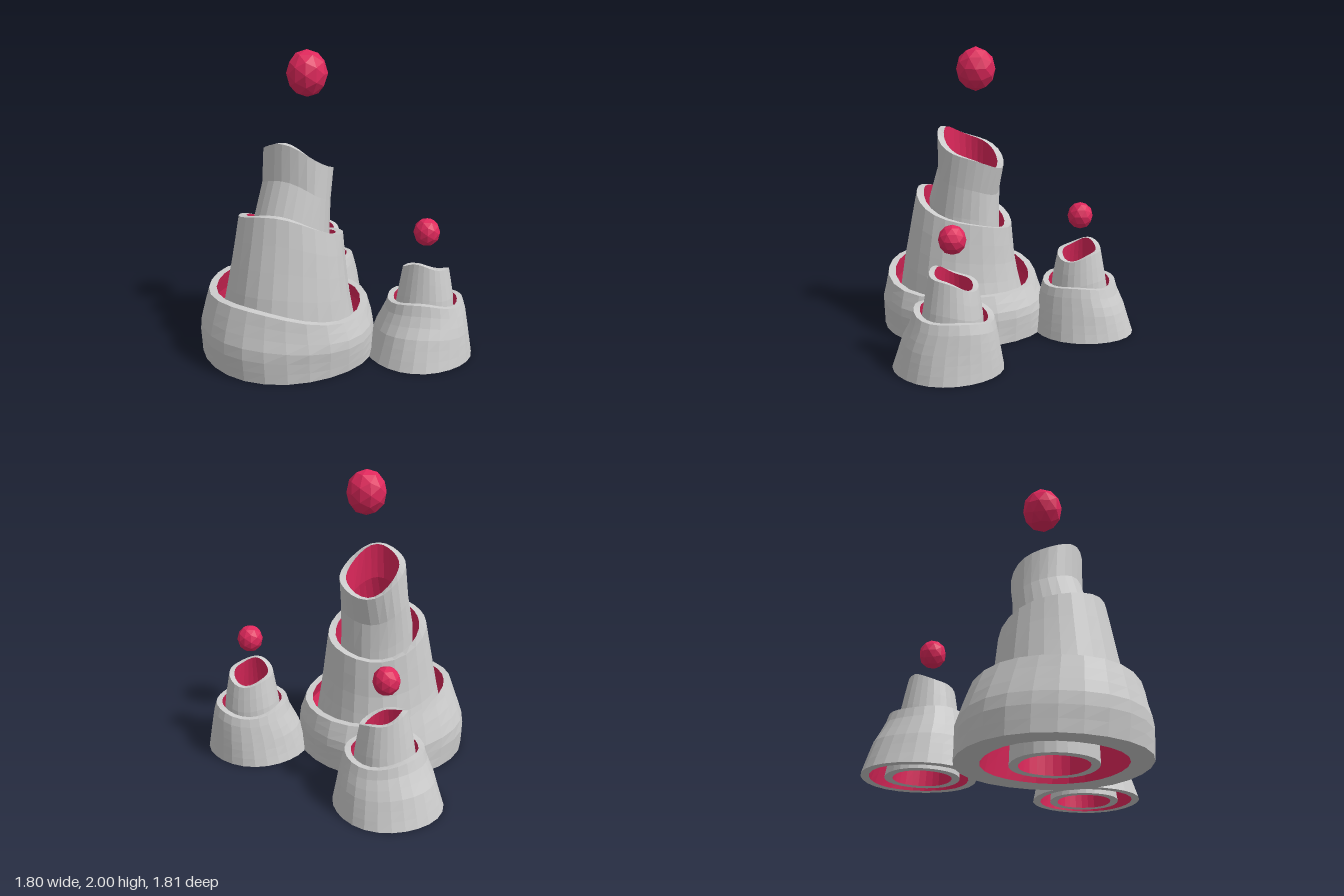
import * as THREE from 'three';

const SIDES = 26, ROWS = 6;
const grey = new THREE.MeshStandardMaterial({ color: 0xcccccc, flatShading: true });
const pink = new THREE.MeshStandardMaterial({ color: 0xe0285c, flatShading: true });

// Interpolate a profile of [y, radius, centreX, centreZ] at height y
function sample(profile, y) {
  let i = 1;
  while (i < profile.length - 1 && y > profile[i][0]) i++;
  const a = profile[i - 1], b = profile[i];
  const t = THREE.MathUtils.clamp((y - a[0]) / (b[0] - a[0]), 0, 1);
  return a.map((v, k) => v + (b[k] - v) * t);
}

// Closed ring strips between successive rows; each row is a function of the angle
function strips(rows) {
  const pos = [], index = [];
  for (const row of rows)
    for (let i = 0; i <= SIDES; i++) pos.push(...row((i % SIDES) / SIDES * Math.PI * 2));
  const n = SIDES + 1;
  for (let j = 0; j < rows.length - 1; j++)
    for (let i = 0; i < SIDES; i++) {
      const a = j * n + i, d = a + n;
      index.push(a, a + 1, d + 1, a, d + 1, d);
    }
  const g = new THREE.BufferGeometry();
  g.setAttribute('position', new THREE.Float32BufferAttribute(pos, 3));
  g.setIndex(index);
  g.computeVertexNormals();
  return g;
}

// Hollow chimney layer: grey outside, rim and foot, pink lining, uneven rim.
// rim = [mean height, front rise, left (+x) rise, ripple, ripple phase]
function layer(name, profile, rim, footWall, topWall) {
  const [mean, front, side, ripple, phase] = rim;
  const row = (t, inner) => a => {
    const top = mean + front * Math.cos(a) + side * Math.sin(a) + ripple * Math.sin(3 * a + phase);
    const y = t * top;
    let [, r, cx, cz] = sample(profile, y);
    r *= 1 + 0.012 * Math.sin(4 * a + phase + 3 * t);
    if (inner) r -= THREE.MathUtils.lerp(footWall, topWall, Math.min(1, t * 1.6));
    return [cx + r * Math.sin(a), y, cz + r * Math.cos(a)];
  };
  const up = [], down = [];
  for (let j = 0; j <= ROWS; j++) {
    up.push(row(j / ROWS, false));
    down.push(row(1 - j / ROWS, true));
  }
  const shell = new THREE.Mesh(strips([row(0, true), ...up, row(1, true)]), grey);
  const lining = new THREE.Mesh(strips(down), pink);
  shell.name = name + 'Shell';
  lining.name = name + 'Lining';
  const g = new THREE.Group();
  g.name = name;
  g.add(shell, lining);
  return g;
}

// Faceted ball floating above a chimney
function ball(name, x, y, z, rx, ry) {
  const m = new THREE.Mesh(new THREE.IcosahedronGeometry(1, 1), pink);
  m.name = name;
  m.position.set(x, y, z);
  m.scale.set(rx, ry, rx);
  m.rotation.y = 0.4;
  return m;
}

// Two-layer small chimney; x, z is the foot centre
function smallChimney(name, x, z, topX, topZ, outerRim, innerRim) {
  const g = new THREE.Group();
  g.name = name;
  const mx = (x + topX) / 2, mz = (z + topZ) / 2;
  g.add(
    layer(name + 'Outer', [[0, 0.355, x, z], [0.2, 0.31, mx, mz], [0.3, 0.275, topX, topZ],
      [0.4, 0.245, topX, topZ]], outerRim, 0.05, 0.04),
    layer(name + 'Inner', [[0, 0.23, mx, mz], [0.38, 0.19, topX, topZ], [0.52, 0.165, topX, topZ],
      [0.65, 0.14, topX, topZ]], innerRim, 0.05, 0.035),
    ball(name + 'Ball', topX, 0.83, topZ, 0.088, 0.095));
  return g;
}

export function createModel() {
  const model = new THREE.Group();
  model.name = 'chimneyCluster';

  // Large three-layer chimney
  const big = new THREE.Group();
  big.name = 'largeChimney';
  big.add(
    layer('largeOuter', [[0, 0.585, -0.3, 0.29], [0.2, 0.595, -0.3, 0.3], [0.33, 0.555, -0.3, 0.31],
      [0.48, 0.51, -0.29, 0.32]], [0.4, 0.045, -0.065, 0.015, 1], 0.11, 0.05),
    layer('largeMiddle', [[0, 0.49, -0.3, 0.3], [0.45, 0.41, -0.28, 0.32], [0.8, 0.36, -0.27, 0.3],
      [1, 0.325, -0.27, 0.295]], [0.875, 0.125, -0.015, 0.015, 0.5], 0.055, 0.05),
    layer('largeInner', [[0, 0.27, -0.27, 0.28], [0.98, 0.25, -0.265, 0.275], [1.16, 0.235, -0.245, 0.21],
      [1.42, 0.225, -0.235, 0.22]], [1.305, 0.12, -0.03, 0.018, 1.2], 0.055, 0.045),
    ball('largeBall', -0.2, 1.85, 0.153, 0.135, 0.152));
  model.add(big);

  // Small chimneys
  model.add(
    smallChimney('sideChimney', 0.545, 0.01, 0.57, -0.035,
      [0.37, 0.025, 0, 0.012, 0.8], [0.585, 0.05, 0.005, 0.012, 2]),
    smallChimney('backChimney', -0.5, -0.555, -0.47, -0.53,
      [0.37, 0.01, -0.015, 0.012, 2.2], [0.585, -0.01, -0.05, 0.012, 0.6]));
  return model;
}
